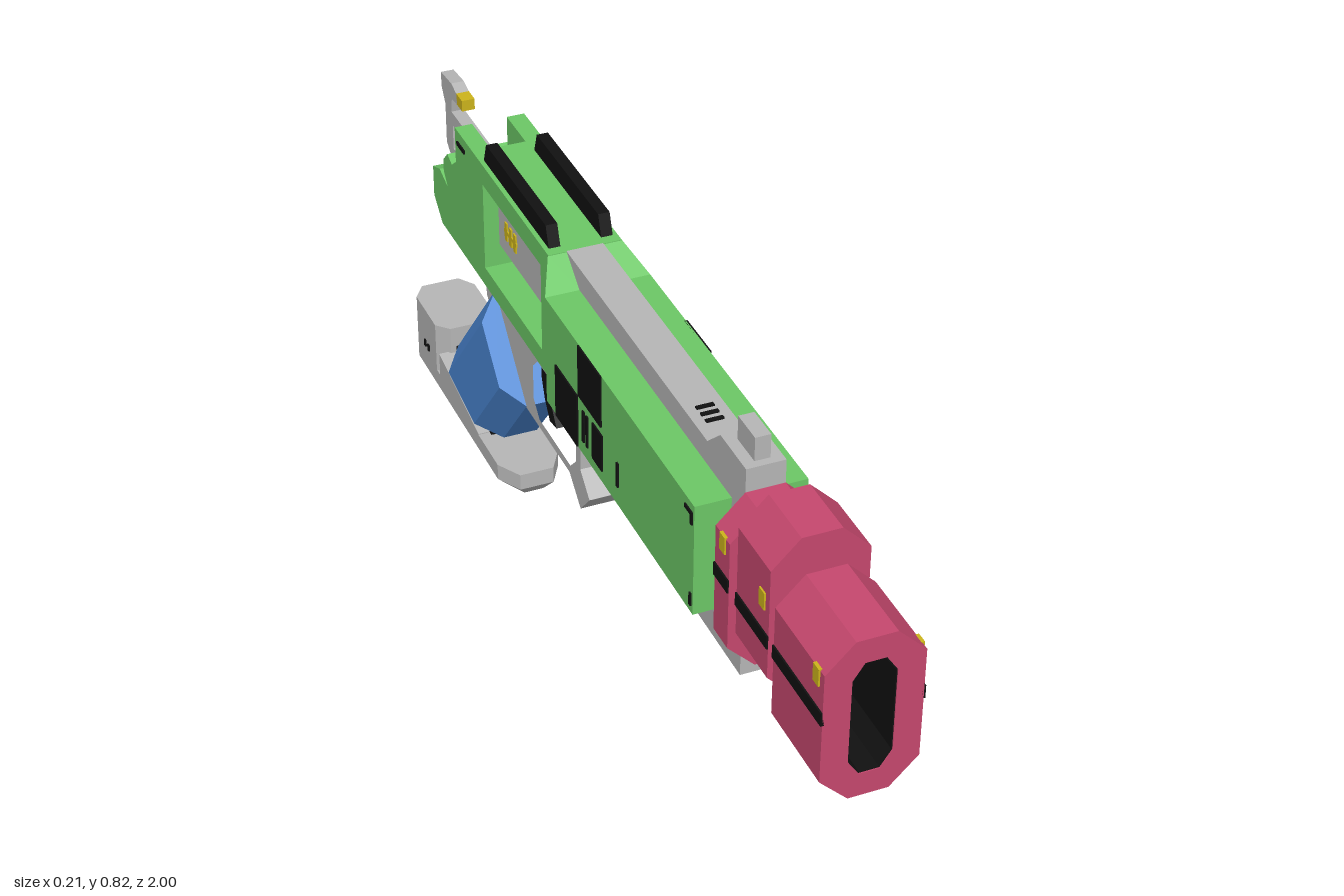
import * as THREE from 'three';
import { ConvexGeometry } from 'three/addons/geometries/ConvexGeometry.js';

const paint = (name, color) => {
  const m = new THREE.MeshStandardMaterial({ color });
  m.name = name;
  return m;
};

export function createModel() {
  const model = new THREE.Group();
  model.name = 'toyBlaster';
  const grey = paint('grey', 0xb6b6b6), green = paint('green', 0x6cc766), pink = paint('pink', 0xc6486e);
  const blue = paint('blue', 0x4a86d2), black = paint('black', 0x111111), yellow = paint('yellow', 0xccb41c);

  const add = (name, mat, geo) => {
    const mesh = new THREE.Mesh(geo, mat);
    mesh.name = name;
    model.add(mesh);
    return mesh;
  };
  const toShape = (pts, holes = []) => {
    const s = new THREE.Shape(pts.map(p => new THREE.Vector2(...p)));
    s.holes = holes.map(h => new THREE.Path(h.map(p => new THREE.Vector2(...p))));
    return s;
  };
  const extrude = (shape, depth) => new THREE.ExtrudeGeometry(shape, { depth, bevelEnabled: false });
  // Side profile given as [z, y], extruded across x from x0 to x1
  const side = (name, mat, pts, x0, x1, holes) =>
    add(name, mat, extrude(toShape(pts, holes), x1 - x0).rotateY(-Math.PI / 2).translate(x1, 0, 0));
  const box = (name, mat, x0, x1, y0, y1, z0, z1) =>
    add(name, mat, new THREE.BoxGeometry(x1 - x0, y1 - y0, z1 - z0)
      .translate((x0 + x1) / 2, (y0 + y1) / 2, (z0 + z1) / 2));
  // Convex block from [half width, y, z] points, mirrored in x
  const hull = (name, mat, pts) => add(name, mat, new ConvexGeometry(
    pts.flatMap(([x, y, z]) => [new THREE.Vector3(x, y, z), new THREE.Vector3(-x, y, z)])));
  // Thin painted plates on both sides at half width x
  const plates = (name, mat, x, z0, z1, y0, y1) => {
    for (const s of [-1, 1]) box(name, mat, s * x - 0.003, s * x + 0.003, y0, y1, z0, z1);
  };
  // Tall octagon outline in x, y
  const octagon = (w, f, y0, y1, c) => [[f, y0], [w, y0 + c], [w, y1 - c], [f, y1],
    [-f, y1], [-w, y1 - c], [-w, y0 + c], [-f, y0]];

  // Central body with trigger guard
  side('body', grey, [[0.6, 0.36], [0.3, 0.36], [0.22, 0.425], [-0.11, 0.425], [-0.115, 0.295],
    [-0.07, 0.255], [-0.115, 0.205], [-0.17, 0.252], [-0.395, 0.252], [-0.56, 0.425], [-0.55, 0.475],
    [-0.172, 0.475], [-0.172, 0.735], [0.45, 0.735], [0.5, 0.78], [0.6, 0.78]], -0.035, 0.035,
    [[[-0.135, 0.3], [-0.165, 0.27], [-0.325, 0.27], [-0.355, 0.3], [-0.355, 0.375], [-0.33, 0.4],
      [-0.165, 0.4], [-0.135, 0.37]]]);
  side('trigger', black, [[-0.29, 0.405], [-0.315, 0.37], [-0.32, 0.32], [-0.285, 0.27], [-0.32, 0.265],
    [-0.345, 0.3], [-0.36, 0.34], [-0.36, 0.405]], -0.016, 0.016);
  add('gripKnob', grey, new THREE.CylinderGeometry(0.038, 0.038, 0.06, 8).rotateZ(Math.PI / 2)
    .rotateX(Math.PI / 8).translate(0, 0.39, -0.585));
  box('frontSight', grey, -0.014, 0.014, 0.775, 0.825, 0.52, 0.585);
  for (const y of [0.79, 0.808]) box('sightDot', pink, -0.008, 0.008, y, y + 0.011, 0.517, 0.521);
  for (const z of [0.36, 0.38, 0.4]) box('topMark', black, -0.016, 0.016, 0.733, 0.738, z - 0.004, z + 0.004);

  // Muzzle blocks
  const bore = octagon(0.038, 0.018, 0.47, 0.69, 0.03);
  const muzzle = [[0.825, 1, 0.425, 0.735, [bore]], [0.685, 0.805, 0.48, 0.79, []], [0.6, 0.655, 0.425, 0.735, []]];
  for (const [z0, z1, y0, y1, holes] of muzzle) {
    add('muzzleBlock', pink, extrude(toShape(octagon(0.085, 0.035, y0, y1, 0.05), holes), z1 - z0).translate(0, 0, z0));
    plates('muzzleStripe', black, 0.085, z0, z1, 0.588, 0.613);
    plates('muzzleLight', yellow, 0.085, z1 - 0.034, z1 - 0.014, 0.655, 0.688);
  }
  for (const [z0, z1] of [[0.65, 0.69], [0.8, 0.83]])
    add('muzzleConnector', black, extrude(toShape(octagon(0.045, 0.03, 0.55, 0.65, 0.03)), z1 - z0).translate(0, 0, z0));
  add('boreLiner', black, extrude(toShape(bore, [octagon(0.036, 0.017, 0.472, 0.688, 0.03)]), 0.166).translate(0, 0, 0.832));
  add('boreEnd', grey, extrude(toShape(bore), 0.006).translate(0, 0, 0.827));

  // Green shell: wide front, taper, windowed rear and two cheeks
  for (const s of [-1, 1])
    box('frontShell', green, Math.min(s * 0.1, s * 0.03), Math.max(s * 0.1, s * 0.03), 0.47, 0.69, -0.11, 0.55);
  hull('shellTaper', green, [[0.1, 0.47, -0.11], [0.1, 0.69, -0.11], [0.07, 0.47, -0.172],
    [0.07, 0.735, -0.172], [0.035, 0.69, -0.11]]);
  side('rearShell', green, [[-0.17, 0.47], [-0.56, 0.47], [-0.56, 0.735], [-0.17, 0.735]], -0.07, 0.07,
    [[[-0.21, 0.51], [-0.21, 0.692], [-0.51, 0.692], [-0.51, 0.51]]]);
  for (const x of [-0.07, 0.035])
    side('rearCheek', green, [[-0.56, 0.47], [-0.755, 0.47], [-0.8, 0.51], [-0.8, 0.575], [-0.76, 0.59],
      [-0.715, 0.575], [-0.735, 0.6], [-0.735, 0.625], [-0.71, 0.65], [-0.685, 0.64], [-0.66, 0.66],
      [-0.66, 0.735], [-0.56, 0.735]], x, x + 0.035);

  // Bolt inside the window
  add('bolt', grey, extrude(toShape(octagon(0.04, 0.025, 0.54, 0.67, 0.016)), 0.32).translate(0, 0, -0.52));
  for (const z of [-0.42, -0.442, -0.465]) plates('boltMark', yellow, 0.04, z - 0.006, z + 0.006, 0.59, 0.628);
  plates('boltMark', yellow, 0.04, -0.475, -0.41, 0.605, 0.613);

  // Painted blocks on the shell
  const marks = [[0.05, 0.155, 0.585, 0.69], [-0.06, 0.045, 0.472, 0.58], [0.115, 0.16, 0.495, 0.57],
    [0.085, 0.093, 0.5, 0.565], [0.068, 0.076, 0.5, 0.565], [0.225, 0.232, 0.51, 0.56],
    [0.515, 0.545, 0.668, 0.675], [0.538, 0.545, 0.65, 0.675], [0.538, 0.545, 0.485, 0.51]];
  for (const m of marks) plates('shellMark', black, 0.1, ...m);
  plates('cheekMark', black, 0.07, -0.645, -0.605, 0.706, 0.714);

  // Top rails
  for (const s of [-1, 1]) {
    side('topRail', black, [[-0.19, 0.733], [-0.205, 0.775], [-0.51, 0.775], [-0.525, 0.733]],
      s * 0.05 - 0.011, s * 0.05 + 0.011);
    box('railDot', pink, s * 0.05 - 0.007, s * 0.05 + 0.007, 0.752, 0.768, -0.521, -0.514);
  }

  // Rear lever and sight
  side('rearLever', grey, [[-0.555, 0.55], [-0.85, 0.55], [-0.88, 0.575], [-0.88, 0.66], [-0.9, 0.69],
    [-0.9, 0.72], [-0.84, 0.725], [-0.81, 0.716], [-0.81, 0.695], [-0.84, 0.69], [-0.845, 0.66],
    [-0.555, 0.66]], -0.013, 0.013,
    [[[-0.74, 0.58], [-0.74, 0.632], [-0.84, 0.632], [-0.84, 0.58]]]);
  box('leverMount', grey, -0.035, 0.035, 0.5, 0.64, -0.62, -0.555);
  box('rearSightTip', yellow, -0.013, 0.013, 0.694, 0.717, -0.812, -0.78);

  // Slanted grip: octagonal section swept between two sloping ends
  const section = [[0.035, 0], [0.078, 0.2], [0.078, 0.76], [0.035, 1]];
  const ends = [[[-0.395, 0.255], [-0.555, 0.425]], [[-0.53, 0.092], [-0.795, 0.145]]];
  hull('grip', blue, ends.flatMap(([a, b]) => section.map(([x, t]) =>
    [x, a[1] + (b[1] - a[1]) * t, a[0] + (b[0] - a[0]) * t])));
  side('gripPad', black, [[-0.59, 0.055], [-0.59, 0.11], [-0.79, 0.15], [-0.79, 0.1]], -0.04, 0.04);

  // Magazine base with chamfered outline and underside
  hull('baseFoot', grey, [[0.02, 0, -0.46], [0.035, 0, -0.5], [0.035, 0, -0.98], [0.035, 0.025, -0.44],
    [0.035, 0.06, -0.44], [0.064, 0.025, -0.49], [0.064, 0.06, -0.49], [0.064, 0.025, -0.965],
    [0.064, 0.06, -0.965], [0.04, 0.025, -1], [0.04, 0.06, -1], [0.035, 0, -1]]);
  side('baseRamp', grey, [[-0.6, 0.055], [-0.83, 0.055], [-0.83, 0.112], [-0.6, 0.062]], -0.064, 0.064);
  hull('baseHeel', grey, [0.05, 0.17].flatMap(y =>
    [[0.04, y, -0.825], [0.064, y, -0.85], [0.064, y, -0.965], [0.04, y, -1]]));
  for (const z of [-0.895, -0.915]) plates('baseMark', black, 0.064, z - 0.004, z + 0.004, 0.08, 0.095);

  return model;
}
